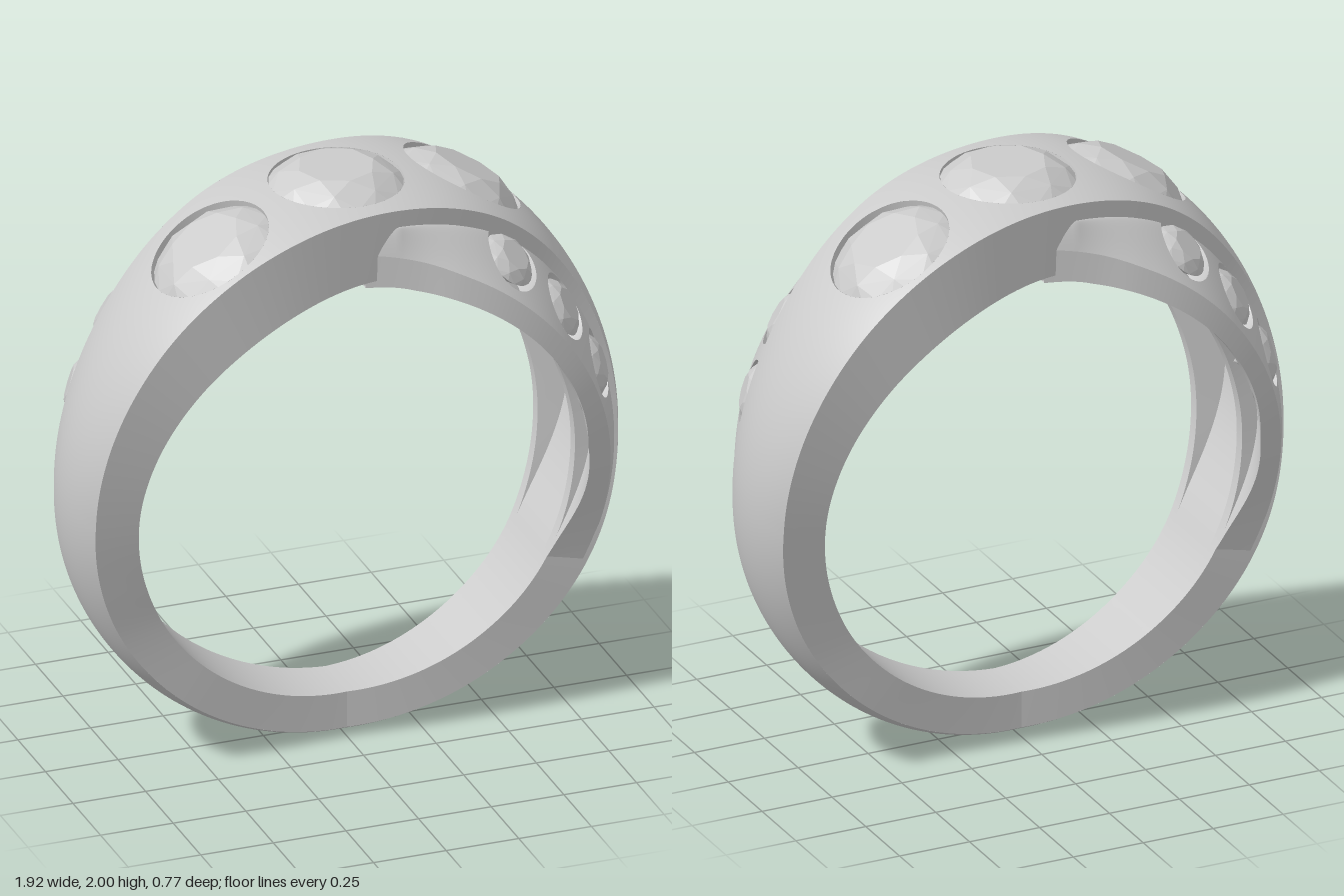
import * as THREE from 'three';
import { ConvexGeometry } from 'three/addons/geometries/ConvexGeometry.js';

const metal = new THREE.MeshStandardMaterial({ color: 0xcccccc, side: THREE.DoubleSide });
const stone = new THREE.MeshStandardMaterial({ color: 0xcccccc, flatShading: true });
const RAD = Math.PI / 180;
const { clamp, smoothstep, lerp } = THREE.MathUtils;

// Smooth function of the angle (degrees) through a few key values
function keyed(pairs) {
  const f = new THREE.CubicInterpolant(pairs.map(p => p[0]), pairs.map(p => p[1]), 1);
  return a => f.evaluate(a)[0];
}

// Point at angle a from the top; t runs from the bore (0) to the crown (1)
function place(a, t, z) {
  const s = Math.sin(a * RAD), c = Math.cos(a * RAD), shoulder = 0.12 * Math.max(0, c) ** 3 * s * s;
  return new THREE.Vector3((0.755 + 0.205 * t) * s, 0.92 + 0.065 * t + (0.76 + 0.225 * t) * c + shoulder * t, z);
}

// Main band edges: the back edge is the front edge turned half round
const mainFront = keyed([[-180, 0.1], [-145, 0.14], [-120, 0.165], [-107, 0.195], [-90, 0.24], [-72, 0.285],
  [-50, 0.335], [-35, 0.353], [-22, 0.343], [0, 0.285], [23, 0.22], [35, 0.18], [52, 0.14], [70, 0.128],
  [90, 0.14], [110, 0.162], [122, 0.162], [145, 0.14], [180, 0.1]]);
const mainBack = a => -mainFront(-a);
const mainEdge = a => 0.79 + 0.11 * Math.max(0, Math.cos(a * RAD));
function mainTop(a, z) {
  const f = mainFront(a), b = mainBack(a), u = (2 * z - f - b) / (f - b), e = mainEdge(a);
  return e + (1 - e) * (1 - u * u);
}
const mainHollow = a => 0.65 * (1 - smoothstep(Math.abs(a), 80, 118));
const mainBore = a => 0.13 * mainHollow(a);

// Side band, tucked under the main band and sloping down to a thin outer edge
const sideFront = keyed([[0, 0.268], [12, 0.312], [23, 0.355], [35, 0.381], [50, 0.385], [73, 0.352],
  [90, 0.285], [110, 0.192], [122, 0.152]]);
const sideBack = a => Math.min(mainFront(a), sideFront(a)) - 0.02;
const sideEdge = keyed([[0, 0.4], [12, 0.35], [25, 0.29], [70, 0.28], [90, 0.4], [110, 0.61], [122, 0.72]]);
function sideTop(a, z) {
  const f = sideFront(a), e = sideEdge(a);
  const u = clamp(1 - (f - z) / Math.max(0.03, f - mainFront(a)), 0, 1);
  return e + Math.max(0.03, 0.7 - e) * (1 - u ** 1.47);
}
const sideInside = (a, z) => Math.max(0, sideTop(a, z) - 0.35) * smoothstep(a, 0, 15) * (1 - smoothstep(a, 85, 115));

function meshOf(name, positions, index) {
  const g = new THREE.BufferGeometry();
  g.setAttribute('position', new THREE.Float32BufferAttribute(positions, 3));
  g.setIndex(index);
  g.computeVertexNormals();
  const m = new THREE.Mesh(g, metal);
  m.name = name;
  return m;
}

// Sheet swept over angles a0..a1; grid points inside a hole move to its rim
function sheet(name, a0, a1, nu, nv, zAt, tAt, holes = []) {
  const pos = [], inside = [], index = [];
  for (let i = 0; i <= nu; i++) for (let j = 0; j <= nv; j++) {
    const v = j / nv;
    let a = a0 + (a1 - a0) * i / nu, z = zAt(a, v), hit = false;
    for (const h of holes) {
      const ds = (a - h.a) * RAD * h.arc, dz = z - h.z, d = Math.hypot(ds, dz);
      if (d >= h.r) continue;
      const k = h.r / Math.max(d, 1e-4);
      a = h.a + ds * k / (RAD * h.arc);
      z = h.z + dz * k;
      hit = true;
      break;
    }
    pos.push(...place(a, tAt(a, z, v), z).toArray());
    inside.push(hit);
  }
  for (let i = 0; i < nu; i++) for (let j = 0; j < nv; j++) {
    const p = i * (nv + 1) + j, q = p + nv + 1;
    for (const tri of [[p, p + 1, q], [q, p + 1, q + 1]])
      if (!tri.every(k => inside[k])) index.push(...tri);
  }
  return meshOf(name, pos, index);
}

// Wall of a stone seat, following the curved band surface
function seat(h, top, bottom) {
  const pos = [], index = [], n = 48;
  for (let i = 0; i <= n; i++) {
    const w = i / n * Math.PI * 2;
    const a = h.a + Math.cos(w) * h.r / (RAD * h.arc), z = h.z + Math.sin(w) * h.r;
    pos.push(...place(a, top(a, z), z).toArray(), ...place(a, bottom(a, z), z).toArray());
    if (i < n) index.push(2 * i, 2 * i + 1, 2 * i + 2, 2 * i + 2, 2 * i + 1, 2 * i + 3);
  }
  return meshOf('stoneSeat', pos, index);
}

// Brilliant cut stone: table, star points, girdle and pointed pavilion
function gem(name, r, crown, depth) {
  const pts = [new THREE.Vector3(0, -depth, 0)];
  const ring = (n, rad, y, off) => {
    for (let i = 0; i < n; i++) {
      const w = (i + off) / n * Math.PI * 2;
      pts.push(new THREE.Vector3(Math.cos(w) * rad, y, Math.sin(w) * rad));
    }
  };
  ring(8, r * 0.58, crown, 0);
  ring(8, r * 0.84, crown * 0.55, 0.5);
  ring(24, r, 0, 0);
  const m = new THREE.Mesh(new ConvexGeometry(pts), stone);
  m.name = name;
  return m;
}

// Seat plus stone, square to the surface
function setStone(group, name, h, top, bottom, sink, crown, depth) {
  const at = (a, z) => place(a, top(a, z), z);
  const da = at(h.a + 2, h.z).sub(at(h.a - 2, h.z)), dz = at(h.a, h.z + 0.03).sub(at(h.a, h.z - 0.03));
  const normal = dz.cross(da).normalize();
  const m = gem(name, h.r * 0.975, crown, depth);
  m.position.copy(at(h.a, h.z)).addScaledVector(normal, -sink);
  m.quaternion.setFromUnitVectors(new THREE.Vector3(0, 1, 0), normal);
  group.add(m, seat(h, top, bottom));
}

export function createModel() {
  const root = new THREE.Group();
  root.name = 'ring';
  const LIP = 0.04;

  // Main band: crowned outside, flat edges, hollowed inside between two lips
  const main = new THREE.Group();
  main.name = 'mainBand';
  const shoulder = { a: -30.5, z: 0.11, r: 0.218, arc: 0.97 };
  const centre = { a: 0, z: 0, r: 0.225, arc: 0.97 };
  const opposite = { ...shoulder, a: 30.5, z: -0.11 };
  main.add(sheet('mainBandOutside', -180, 180, 360, 40, (a, v) => lerp(mainBack(a), mainFront(a), v), mainTop,
    [shoulder, centre, opposite]));
  main.add(sheet('mainBandHollow', -180, 180, 240, 8,
    (a, v) => lerp(mainBack(a) + LIP, mainFront(a) - LIP, v), mainHollow));
  for (const [edge, dir] of [[mainFront, -1], [mainBack, 1]]) {
    main.add(sheet('mainBandEdge', -180, 180, 240, 1, edge, (a, z, v) => lerp(mainBore(a), mainEdge(a), v)));
    main.add(sheet('mainBandLip', -180, 180, 240, 1, (a, v) => edge(a) + dir * LIP * v, mainBore));
    main.add(sheet('mainBandLipWall', -120, 120, 160, 1, a => edge(a) + dir * LIP,
      (a, z, v) => lerp(mainBore(a), mainHollow(a), v)));
  }
  setStone(main, 'centreStone', centre, mainTop, mainHollow, 0.03, 0.06, 0.22);
  root.add(main);

  // Each half: a side band with three small stones, and one large shoulder stone
  for (const turn of [0, Math.PI]) {
    const side = new THREE.Group();
    side.name = turn ? 'backSideBand' : 'frontSideBand';
    const holes = [[36, 0.25], [53.5, 0.25], [70.5, 0.23]].map(([a, z]) => ({ a, z, r: 0.103, arc: 0.87 }));
    const across = (a, v) => lerp(sideBack(a), sideFront(a), v);
    side.add(sheet('sideBandOutside', 0, 122, 150, 28, across, sideTop, holes));
    side.add(sheet('sideBandInside', 0, 122, 150, 16, across, sideInside));
    for (const edge of [sideFront, sideBack])
      side.add(sheet('sideBandEdge', 0, 122, 150, 1, edge, (a, z, v) => lerp(sideInside(a, z), sideTop(a, z), v)));
    for (const h of holes) setStone(side, 'smallStone', h, sideTop, sideInside, 0.02, 0.03, 0.1);
    setStone(side, 'shoulderStone', opposite, mainTop, mainHollow, 0.045, 0.06, 0.21);
    side.rotation.y = turn;
    root.add(side);
  }
  return root;
}
